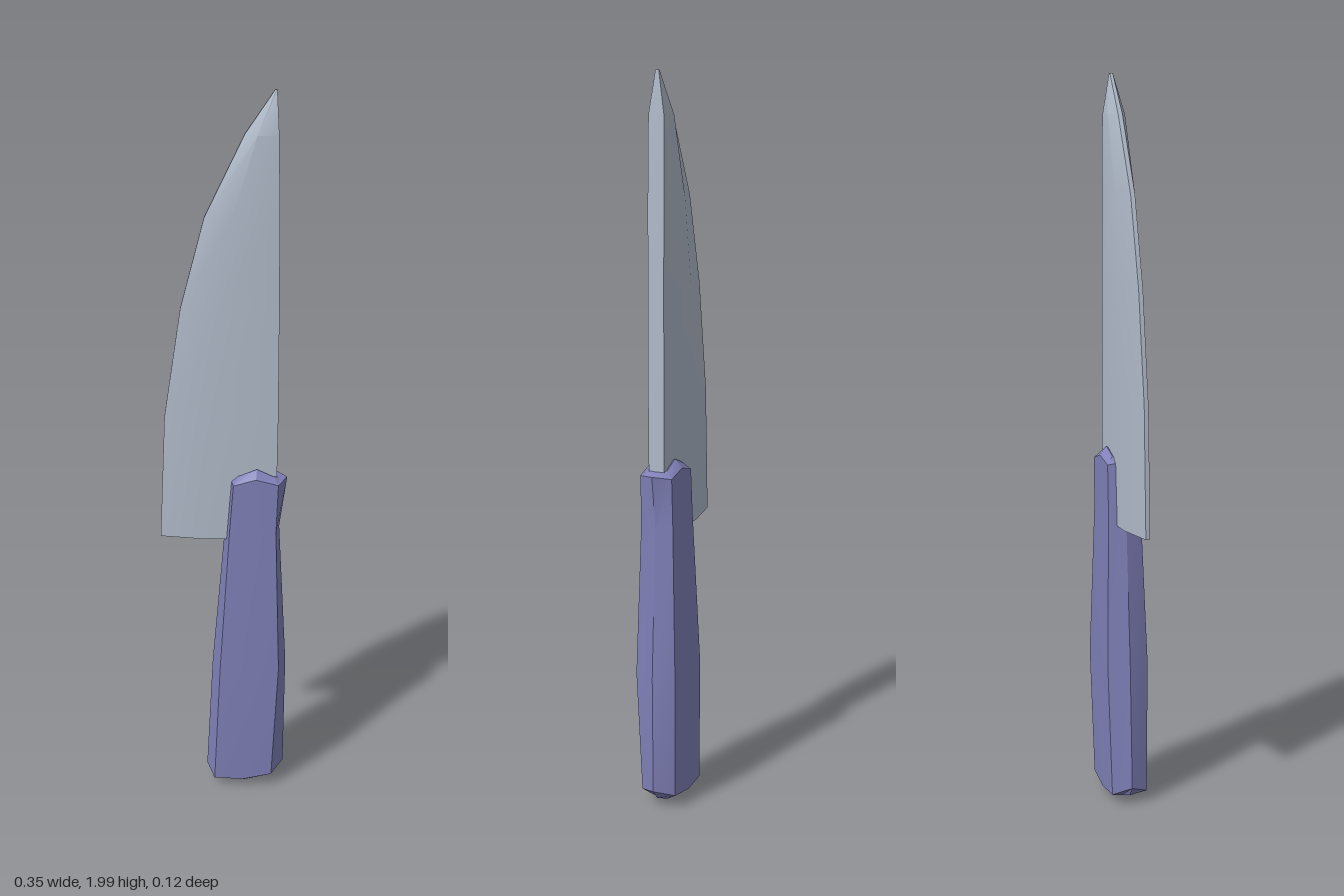
import * as THREE from 'three';
import { toCreasedNormals } from 'three/addons/utils/BufferGeometryUtils.js';

// Skin a stack of equal-length rings (counter-clockwise seen from above), with fan caps.
function loft(rings, crease) {
  const n = rings[0].length;
  const pos = [], idx = [];
  rings.forEach(r => r.forEach(p => pos.push(...p)));
  for (let i = 0; i < rings.length - 1; i++) {
    for (let j = 0; j < n; j++) {
      const k = (j + 1) % n;
      const a = i * n + j, b = i * n + k, c = b + n, d = a + n;
      idx.push(a, b, c, a, c, d);
    }
  }
  const cap = (ring, start, up) => {
    const center = pos.length / 3;
    for (let c = 0; c < 3; c++) pos.push(ring.reduce((s, p) => s + p[c], 0) / n);
    for (let j = 0; j < n; j++) {
      const a = start + j, b = start + (j + 1) % n;
      idx.push(center, up ? a : b, up ? b : a);
    }
  };
  cap(rings[0], 0, false);
  cap(rings[rings.length - 1], (rings.length - 1) * n, true);
  const geo = new THREE.BufferGeometry();
  geo.setAttribute('position', new THREE.Float32BufferAttribute(pos, 3));
  geo.setIndex(idx);
  return toCreasedNormals(geo, crease);
}

// Blade section: flat spine, parallel flanks, long bevel to a thin edge.
function bladeRing([y, edge, spine, half, thin]) {
  const bevel = edge + (spine - edge) * 0.37;
  return [
    [spine, y, half * 0.9], [spine, y, -half * 0.9], [bevel, y, -half],
    [edge, y, -thin], [edge, y, thin], [bevel, y, half],
  ];
}

// Handle section: pointed at both ends, slightly crowned broad sides.
// y values: tips, corners, middle.
function handleRing([tipL, cornerL, cornerR, tipR, half, yTipL, yCornL, yMid, yCornR, yTipR]) {
  const mid = (cornerL + cornerR) / 2, h = half * 0.95;
  return [
    [tipR, yTipR, 0], [cornerR, yCornR, -h], [mid, yMid, -half], [cornerL, yCornL, -h],
    [tipL, yTipL, 0], [cornerL, yCornL, h], [mid, yMid, half], [cornerR, yCornR, h],
  ];
}
const level = y => [y, y, y, y, y];

export function createModel() {
  const group = new THREE.Group();
  const add = (name, geometry, color) => {
    const mesh = new THREE.Mesh(geometry, new THREE.MeshStandardMaterial({ color }));
    mesh.name = name;
    group.add(mesh);
  };

  // Blade, heel to tip: y, edge x, spine x, half thickness, edge half thickness
  add('blade', loft([
    [0.79, -0.175, 0.14, 0.025, 0.006],
    [1.14, -0.16, 0.143, 0.025, 0.006],
    [1.44, -0.115, 0.142, 0.025, 0.006],
    [1.68, -0.052, 0.14, 0.025, 0.006],
    [1.89, 0.05, 0.136, 0.024, 0.006],
    [2.0, 0.125, 0.13, 0.005, 0.004],
  ].map(bladeRing), 0.6), 0xb0bac9);

  // Handle, butt to collar
  add('handle', loft([
    [-0.03, 0.0, 0.11, 0.145, 0.016, 0.028, 0.018, 0.006, 0.02, 0.035],
    [-0.05, -0.028, 0.135, 0.17, 0.053, 0.055, 0.035, 0.032, 0.048, 0.065],
    [-0.033, -0.012, 0.152, 0.173, 0.061, ...level(0.4)],
    [0.002, 0.014, 0.14, 0.15, 0.049, ...level(0.82)],
    [0.014, 0.024, 0.145, 0.17, 0.048, 0.965, 0.957, 0.975, 0.958, 0.965],
    [0.03, 0.04, 0.135, 0.155, 0.028, 0.972, 0.978, 0.998, 0.975, 0.97],
  ].map(handleRing), 0.45), 0x8080b8);

  return group;
}
